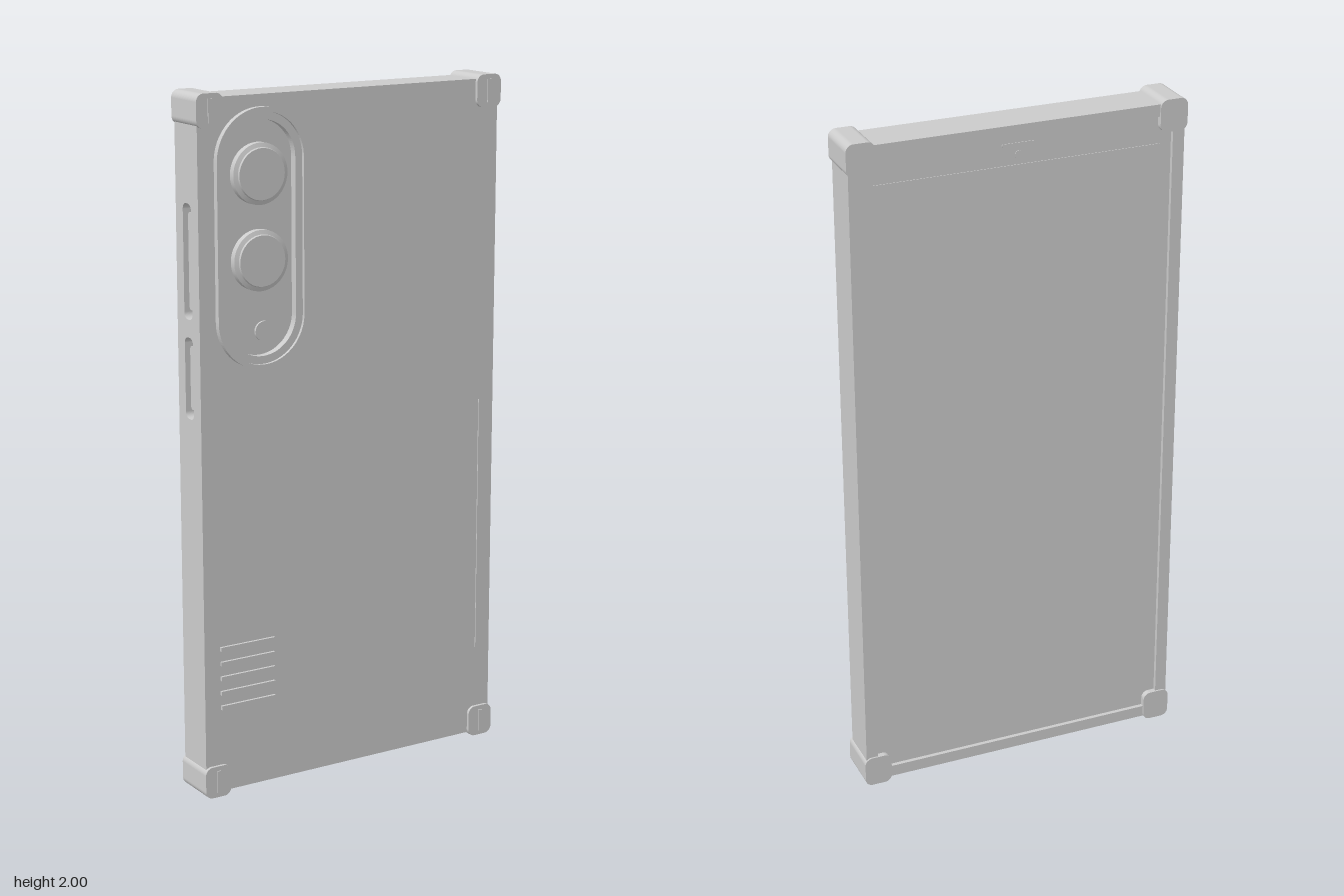
import * as THREE from 'three';

const MAT = new THREE.MeshStandardMaterial({ color: 0xcccccc });

// Rounded rectangle centred on (cx, cy); with r = w / 2 it becomes a stadium
function roundRect(cx, cy, w, h, r, T = THREE.Shape) {
  const s = new T(), x = w / 2 - r, y = h / 2 - r;
  s.absarc(cx + x, cy + y, r, 0, Math.PI / 2);
  s.absarc(cx - x, cy + y, r, Math.PI / 2, Math.PI);
  s.absarc(cx - x, cy - y, r, Math.PI, Math.PI * 1.5);
  s.absarc(cx + x, cy - y, r, Math.PI * 1.5, Math.PI * 2);
  s.closePath();
  return s;
}

// Plate between z0 and z1, with optional holes
function slab(shape, z0, z1, holes = []) {
  shape.holes.push(...holes);
  const g = new THREE.ExtrudeGeometry(shape, { depth: z1 - z0, bevelEnabled: false, curveSegments: 12 });
  return g.translate(0, 0, z0);
}

function box(x0, x1, y0, y1, z0, z1) {
  return new THREE.BoxGeometry(x1 - x0, y1 - y0, z1 - z0)
    .translate((x0 + x1) / 2, (y0 + y1) / 2, (z0 + z1) / 2);
}

export function createModel() {
  const group = new THREE.Group();
  const add = (name, geometry) => {
    const m = new THREE.Mesh(geometry, MAT);
    m.name = name;
    group.add(m);
    return m;
  };
  const W = 0.98, H = 1.976, BACK = -0.072, FRONT = 0.052;
  const camX = -0.298, camY = 1.595;
  const pill = (inset, T) => roundRect(camX, camY, 0.284 - 2 * inset, 0.72 - 2 * inset, 0.142 - inset, T);

  // Case shell: back plate with camera opening, and screen-side lip
  add('backPlate', slab(roundRect(0, 1, W, H, 0.05), 0.025, FRONT, [pill(0.032, THREE.Path)]));
  add('screenLip', slab(roundRect(0, 1, W, H, 0.05), BACK, -0.058,
    [roundRect(0, 1, W - 0.06, H - 0.06, 0.05, THREE.Path)]));

  // Walls; the -x wall has button slots, the bottom wall a port slot
  add('plainSideWall', box(0.455, 0.49, 0.06, 1.94, BACK, FRONT));
  add('topWall', box(-0.44, 0.44, 1.953, 1.988, BACK, FRONT));
  const slots = [[1.54, 0.32], [1.215, 0.23]];
  const zMid = (BACK + FRONT) / 2, depth = FRONT - BACK;
  add('slottedSideWall', slab(roundRect(zMid, 1, depth, 1.88, 0.002), 0.455, 0.49,
    slots.map(([y, h]) => roundRect(zMid, y, 0.046, h, 0.018, THREE.Path))).rotateY(-Math.PI / 2));
  add('bottomWall', slab(roundRect(0, zMid, 0.88, depth, 0.002), -0.047, -0.012,
    [roundRect(0, zMid, 0.76, 0.066, 0.015, THREE.Path)]).rotateX(Math.PI / 2));

  // Phone held in the case
  add('phoneBody', slab(roundRect(0, 1, 0.93, 1.91, 0.05), -0.06, 0.03));
  slots.forEach(([y, h]) =>
    add('sideButton', slab(roundRect(zMid, y, 0.024, h - 0.05, 0.011), 0.45, 0.48).rotateY(-Math.PI / 2)));
  add('chargingPort', slab(roundRect(0, zMid, 0.16, 0.034, 0.016), -0.05, -0.038,
    [roundRect(0, zMid, 0.13, 0.016, 0.007, THREE.Path)]).rotateX(Math.PI / 2));

  // Screen details
  add('statusLine', box(-0.42, 0.42, 1.868, 1.872, -0.062, -0.058));
  add('earpiece', slab(roundRect(0, 1.93, 0.1, 0.008, 0.0035), -0.062, -0.058));
  add('screenCamera', new THREE.CylinderGeometry(0.012, 0.012, 0.004, 20)
    .rotateX(Math.PI / 2).translate(0, 1.9, -0.06));

  // Camera surround: raised rim, inner step and recessed floor
  add('cameraRim', slab(pill(0), 0.045, 0.069, [pill(0.012, THREE.Path)]));
  add('cameraStep', slab(pill(0.01), 0.03, 0.06, [pill(0.034, THREE.Path)]));
  add('cameraFloor', slab(pill(0.03), 0.02, 0.038));

  // Lenses with a stepped edge
  for (const y of [1.773, 1.535]) {
    const lens = add('cameraLens', new THREE.LatheGeometry([
      [0.085, 0], [0.085, 0.02], [0.085, 0.02], [0.073, 0.024], [0.073, 0.024], [0.071, 0.029], [0.071, 0.029], [0, 0.029],
    ].map(p => new THREE.Vector2(...p)), 40).rotateX(Math.PI / 2));
    lens.position.set(camX, y, 0.037);
  }
  add('flash', new THREE.CylinderGeometry(0.028, 0.028, 0.008, 24)
    .rotateX(Math.PI / 2).translate(camX + 0.015, 1.335, 0.041));

  // Corner bumpers, each with a slim ridge
  for (const sx of [-1, 1]) for (const y of [0.0465, 1.9535]) {
    add('cornerBumper', slab(roundRect(sx * 0.455, y, 0.082, 0.093, 0.022), -0.077, 0.061));
    add('bumperRidge', box(sx * 0.455 - 0.006, sx * 0.455 + 0.006, y - 0.033, y + 0.033, 0.06, 0.064));
  }

  // Grip ribs and the long accent line
  for (let i = 0; i < 5; i++) {
    const y = 0.265 + i * 0.0437;
    add('gripRib', box(-0.44, -0.264, y - 0.006, y + 0.006, 0.048, 0.06));
  }
  add('accentLine', box(0.439, 0.445, 0.28, 1.05, 0.05, 0.055));

  return group;
}
